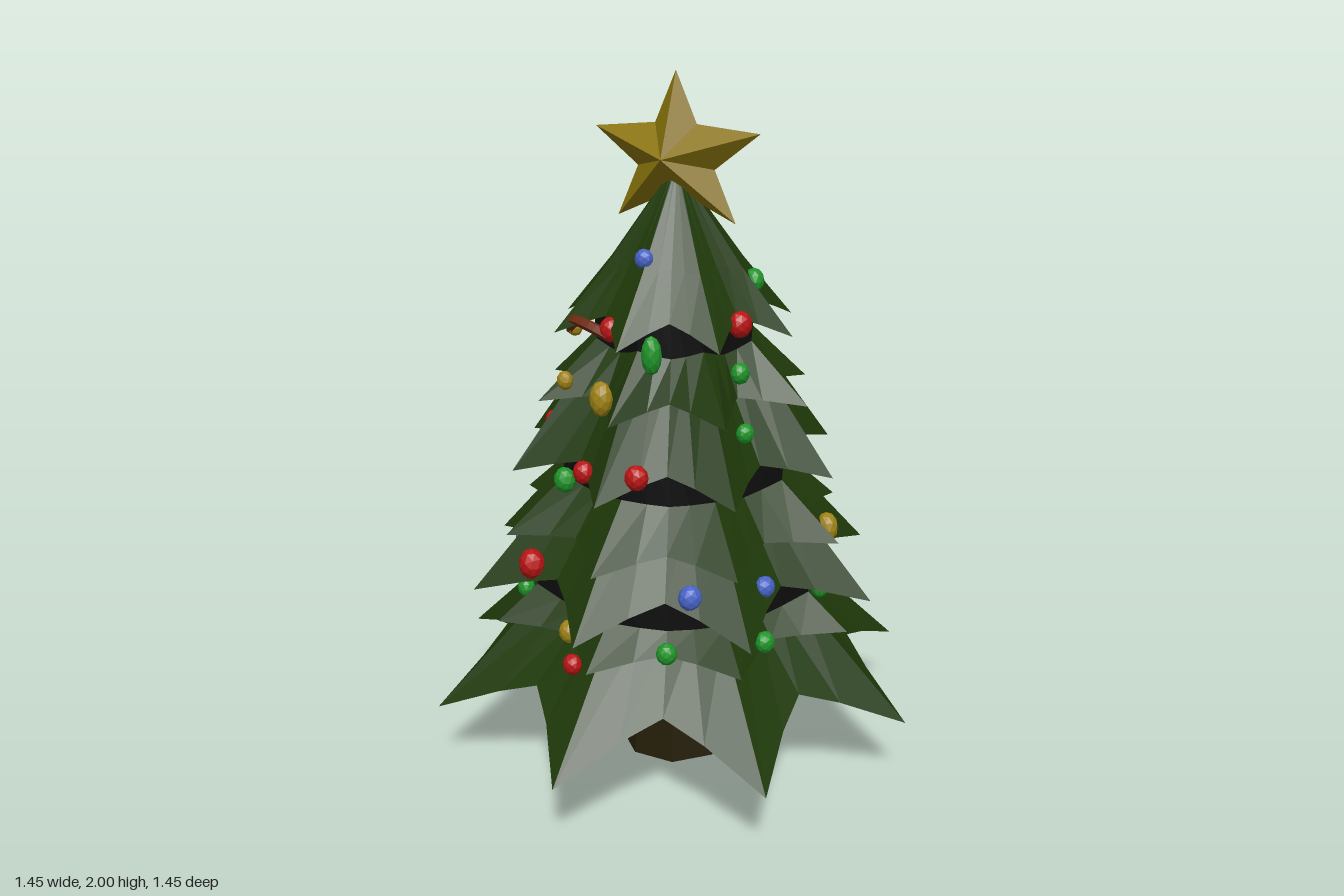
import * as THREE from 'three';

const mat = (name, color, extra = {}) => {
  const m = new THREE.MeshStandardMaterial({ color, flatShading: true, ...extra });
  m.name = name;
  return m;
};

// Eight-pointed ring: radius and height at the tips and at the valleys between them
const SEG = 32;
function starRing([tipR, tipY, valR, valY]) {
  const pts = [];
  for (let j = 0; j < SEG; j++) {
    const k = j % 4;
    const t = k === 0 ? 0 : k === 2 ? 1 : 0.7;
    const r = tipR + (valR - tipR) * t;
    const y = tipY + (valY - tipY) * (k % 2 ? 0.64 : t);
    const a = (j / SEG) * Math.PI * 2;
    pts.push([r * Math.sin(a), y, r * Math.cos(a)]);
  }
  return pts;
}

// Skin between successive rings, listed from the lower to the upper
function loft(profiles) {
  const rings = profiles.map(starRing);
  const pos = [];
  for (let i = 0; i + 1 < rings.length; i++) {
    const lo = rings[i], hi = rings[i + 1];
    for (let j = 0; j < SEG; j++) {
      const n = (j + 1) % SEG;
      pos.push(...lo[j], ...lo[n], ...hi[n], ...lo[j], ...hi[n], ...hi[j]);
    }
  }
  return toGeometry(pos);
}

function toGeometry(pos) {
  const g = new THREE.BufferGeometry();
  g.setAttribute('position', new THREE.Float32BufferAttribute(pos, 3));
  g.computeVertexNormals();
  return g;
}

export function createModel() {
  const group = new THREE.Group();
  group.name = 'decoratedTree';
  const green = mat('needleGreen', 0x1f390a, { side: THREE.DoubleSide });
  const black = mat('undersideBlack', 0x0d0d0e, { side: THREE.DoubleSide });
  const bark = mat('barkBrown', 0x241d09);
  const gold = mat('starGold', 0x8a740b);
  const brown = mat('ribbonBrown', 0x702c14);
  const bulb = {
    red: mat('bulbRed', 0xb81414), blue: mat('bulbBlue', 0x4763c6),
    green: mat('bulbGreen', 0x1f9429), yellow: mat('bulbYellow', 0xa08416),
  };
  const add = (name, geometry, material, parent = group) => {
    const m = new THREE.Mesh(geometry, material);
    m.name = name;
    parent.add(m);
    return m;
  };

  // Trunk
  const trunk = add('trunk', new THREE.CylinderGeometry(0.1, 0.165, 0.6, 8), bark);
  trunk.position.y = 0.3;
  trunk.rotation.y = Math.PI / 8;

  // Branch layers from the bottom up: [tip r, tip y, valley r, valley y].
  // Full layers have a dark hollow underside; the thin ones between lie on the layer below.
  const rimA = [0.42, 0.575, 0.36, 0.54];
  const rimB = [0.33, 0.9, 0.285, 0.875];
  const rimC = [0.23, 1.29, 0.2, 1.265];
  const layers = [
    { top: [[0.725, 0.23, 0.515, 0.36], [0.4, 0.55, 0.35, 0.53]],
      under: [[0.39, 0.51, 0.34, 0.505], [0.08, 0.57, 0.08, 0.57]] },
    { top: [[0.54, 0.475, 0.402, 0.485], rimA] },
    { top: [[0.605, 0.585, 0.435, 0.66], [0.34, 0.88, 0.29, 0.86]],
      under: [[0.43, 0.745, 0.355, 0.735], rimA] },
    { top: [[0.505, 0.74, 0.367, 0.765], rimB] },
    { top: [[0.48, 0.93, 0.345, 0.985], [0.24, 1.26, 0.19, 1.24]],
      under: [[0.345, 1.09, 0.28, 1.06], rimB] },
    { top: [[0.4, 1.125, 0.252, 1.155], rimC] },
    { top: [[0.35, 1.315, 0.25, 1.375], [0.2, 1.49, 0.165, 1.5], [0.02, 1.73, 0.02, 1.73]],
      under: [[0.24, 1.425, 0.2, 1.42], rimC] },
  ];
  layers.forEach(({ top, under }, i) => {
    add(`branchLayer${i + 1}`, loft(top), green);
    if (under) add(`branchUnderside${i + 1}`, loft([top[0], ...under]), black);
  });

  // Five-pointed faceted star: right half of the outline, mirrored
  const half = [[0.062, 1.862], [0.245, 1.845], [0.115, 1.745], [0.178, 1.605]];
  const outline = [[0, 2], ...half, [0, 1.685], ...half.map(([x, y]) => [-x, y]).reverse()];
  const pos = [];
  outline.forEach((p, i) => {
    const q = outline[(i + 1) % outline.length];
    pos.push(0, 1.775, 0.093, ...q, 0, ...p, 0);
    pos.push(0, 1.775, -0.093, ...p, 0, ...q, 0);
  });
  add('topStar', toGeometry(pos), gold);

  // Hanging bulbs: [x, y, z, radius, height factor]
  const bulbs = {
    red: [
      [0.24, 1.36, 0.1, 0.034], [-0.09, 0.98, 0.375, 0.03], [0.07, 0.99, 0.375, 0.033],
      [-0.26, 0.68, 0.38, 0.041], [-0.31, 1.03, 0.16, 0.028], [-0.08, 0.455, 0.475, 0.028],
      [-0.07, 1.345, 0.25, 0.032], [0.275, 1.1, -0.115, 0.03], [0.07, 1.3, -0.26, 0.032, 1.9],
      [0.09, 1.01, -0.355, 0.035], [-0.34, 1.03, -0.1, 0.037], [-0.47, 0.43, -0.13, 0.034],
      [-0.3, 0.53, -0.38, 0.032],
    ],
    blue: [
      [-0.01, 1.525, 0.17, 0.026], [0, 1.525, -0.17, 0.024], [0.23, 0.68, 0.38, 0.033],
      [0.38, 0.68, 0.23, 0.029], [-0.38, 0.68, 0.23, 0.028], [0.15, 0.385, -0.5, 0.034],
      [0.22, 0.68, -0.39, 0.029], [0.18, 1.02, -0.32, 0.025], [-0.39, 0.68, -0.24, 0.028],
      [-0.24, 1.33, -0.11, 0.032],
    ],
    green: [
      [0.07, 1.3, 0.285, 0.028, 1.9], [0.235, 1.22, 0.085, 0.028], [0.185, 1.43, -0.115, 0.033],
      [-0.2, 0.91, 0.29, 0.034], [-0.38, 0.52, 0.23, 0.029], [0.17, 0.51, 0.4, 0.029],
      [0.38, 0.51, 0.22, 0.029], [0.285, 1.08, 0.16, 0.026], [0.4, 0.52, -0.15, 0.029],
      [-0.1, 1.08, -0.29, 0.028], [-0.38, 0.52, -0.18, 0.028], [-0.15, 0.51, -0.39, 0.028],
      [0.15, 0.52, -0.39, 0.027],
    ],
    yellow: [
      [-0.06, 1.175, 0.325, 0.033, 1.5], [-0.215, 1.185, 0.25, 0.025], [-0.12, 0.52, 0.42, 0.031],
      [0.38, 0.67, -0.25, 0.037, 1.3], [-0.22, 1.32, 0.18, 0.024], [-0.09, 1.27, -0.28, 0.024],
    ],
  };
  const ball = new THREE.IcosahedronGeometry(1, 1);
  for (const [color, list] of Object.entries(bulbs)) {
    const set = new THREE.Group();
    set.name = `${color}Bulbs`;
    group.add(set);
    for (const [x, y, z, r, tall = 1.1] of list) {
      const b = add(`${color}Bulb`, ball, bulb[color], set);
      b.position.set(x, y, z);
      b.scale.set(r, r * tall, r * 0.9);
      b.rotation.y = Math.atan2(x, z);
    }
  }

  // Curled ribbon under the top layer
  const curl = new THREE.CatmullRomCurve3([[-0.23, 1.31, 0.18], [-0.2, 1.35, 0.22],
    [-0.14, 1.35, 0.25], [-0.07, 1.33, 0.26]].map(p => new THREE.Vector3(...p)));
  add('ribbon', new THREE.TubeGeometry(curl, 10, 0.016, 5), brown);

  return group;
}
